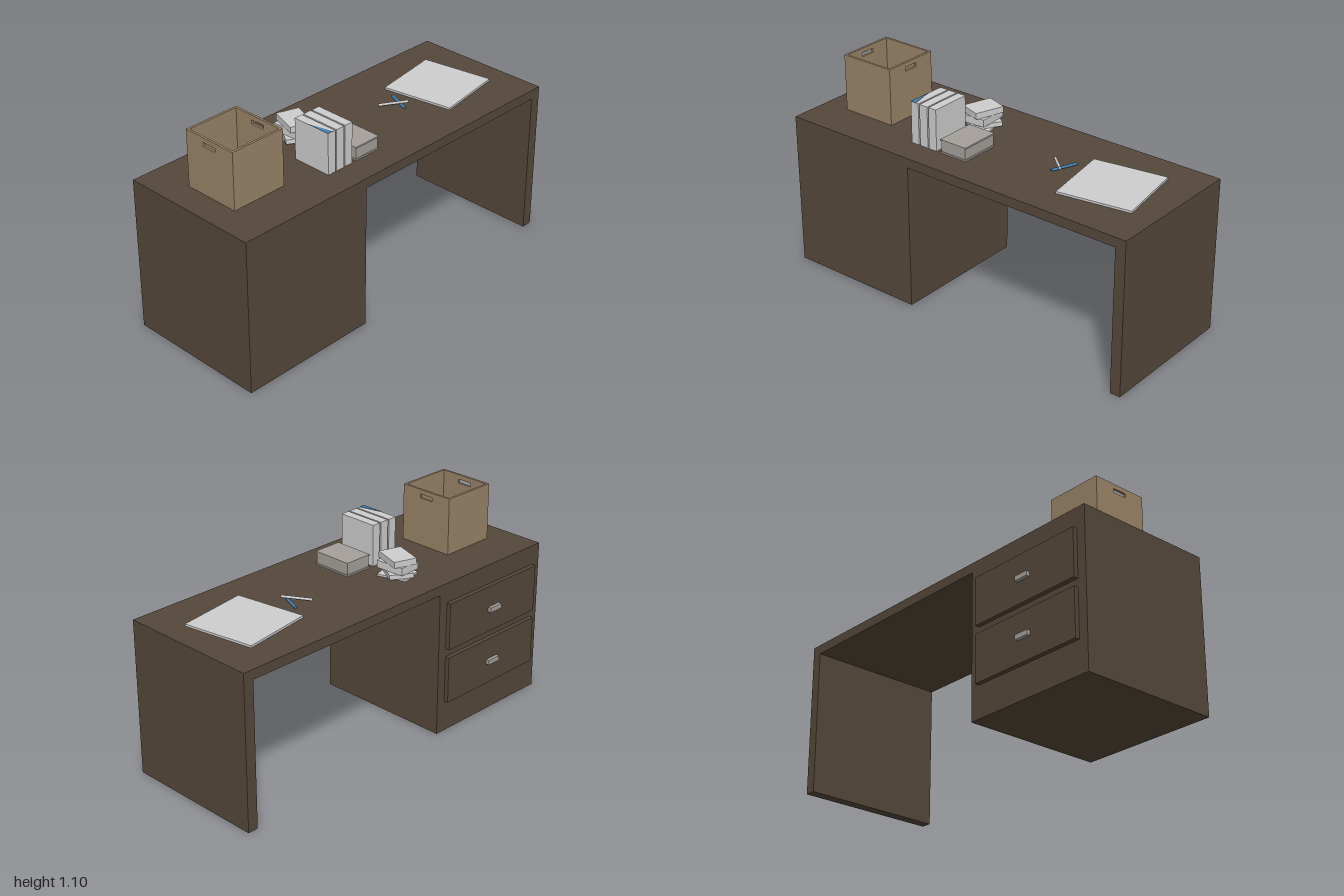
import * as THREE from 'three';

const mat = (name, color) => Object.assign(new THREE.MeshStandardMaterial({ color }), { name });

export function createModel() {
  const wood = mat('darkWood', 0x55483b);
  const card = mat('cardboard', 0x9a8467);
  const paper = mat('paper', 0xcecece);
  const grey = mat('warmGrey', 0xa5a09b);
  const blue = mat('blue', 0x4682b4);
  const model = new THREE.Group();
  model.name = 'desk';
  const TOP = 0.805;

  function add(name, geometry, material, x, y, z, parent = model) {
    const mesh = new THREE.Mesh(geometry, material);
    mesh.name = name;
    mesh.position.set(x, y, z);
    parent.add(mesh);
    return mesh;
  }
  // box given by its extents on each axis
  function block(name, material, x0, x1, y0, y1, z0, z1, parent) {
    return add(name, new THREE.BoxGeometry(x1 - x0, y1 - y0, z1 - z0), material,
      (x0 + x1) / 2, (y0 + y1) / 2, (z0 + z1) / 2, parent);
  }
  const polygon = (points) => new THREE.Shape(points.map(([x, y]) => new THREE.Vector2(x, y)));
  const extrude = (shape, depth) => new THREE.ExtrudeGeometry(shape, { depth, bevelEnabled: false });

  // desk body: cabinet, top and end panel as one front outline
  const outline = polygon([[-1, 0], [-0.255, 0], [-0.255, 0.755], [0.945, 0.755],
    [0.945, 0], [1, 0], [1, TOP], [-1, TOP]]);
  add('deskBody', extrude(outline, 0.75), wood, 0, 0, -0.355);

  // drawers on the back with bar handles
  for (const y of [0.165, 0.455]) {
    block('drawerFront', wood, -0.95, -0.305, y, y + 0.247, -0.378, -0.355);
    block('drawerHandle', grey, -0.67, -0.59, y + 0.111, y + 0.136, -0.396, -0.378);
  }

  // open storage box with hand holes in its two x sides
  const bin = new THREE.Group();
  bin.name = 'storageBox';
  model.add(bin);
  const t = 0.012, h = 0.295;
  block('boxFloor', card, -0.86 + t, -0.56 - t, TOP, TOP + t, -0.13 + t, 0.172 - t, bin);
  block('boxBack', card, -0.86 + t, -0.56 - t, TOP, TOP + h, -0.13, -0.13 + t, bin);
  block('boxFront', card, -0.86 + t, -0.56 - t, TOP, TOP + h, 0.172 - t, 0.172, bin);
  const side = polygon([[-0.151, 0], [0.151, 0], [0.151, h], [-0.151, h]]);
  side.holes.push(polygon([[-0.039, 0.25], [-0.039, 0.271], [0.039, 0.271], [0.039, 0.25]]));
  for (const x of [-0.86, -0.56 - t]) {
    add('boxSide', extrude(side, t), card, x, TOP, 0.021, bin).rotation.y = Math.PI / 2;
  }

  // upright binders, the first with a blue corner on top
  for (const [x0, x1] of [[-0.355, -0.309], [-0.301, -0.253], [-0.245, -0.199]]) {
    block('binder', paper, x0, x1, TOP, 1.02, 0.036, 0.25);
  }
  const corner = polygon([[-0.355, -0.25], [-0.325, -0.25], [-0.355, -0.125]]);
  add('blueCorner', extrude(corner, 0.002), blue, 0, 1.02, 0).rotation.x = -Math.PI / 2;

  // low flat case with overhanging lid and base
  block('caseBase', grey, -0.175, -0.02, TOP, TOP + 0.008, 0.035, 0.25);
  block('caseBody', grey, -0.171, -0.024, TOP + 0.008, 0.868, 0.039, 0.246);
  block('caseLid', grey, -0.175, -0.02, 0.868, 0.876, 0.035, 0.25);

  // untidy pile of books: bottom height, thickness, turn
  for (const [y, thick, turn] of [[0, 0.01, 0.3], [0.01, 0.024, -0.55], [0.034, 0.039, 0.06], [0.073, 0.032, -0.32]]) {
    add('pileBook', new THREE.BoxGeometry(0.12, thick, 0.158), paper,
      -0.212, TOP + y + thick / 2, -0.114).rotation.y = turn;
  }

  // large paper pad
  add('paperPad', new THREE.BoxGeometry(0.38, 0.011, 0.38), paper, 0.658, TOP + 0.0055, 0.018).rotation.y = 0.16;

  // pens: the white one leans on the blue one
  function pen(name, material, from, to) {
    const a = new THREE.Vector3(...from), b = new THREE.Vector3(...to);
    const dir = b.clone().sub(a), mid = a.clone().add(b).multiplyScalar(0.5);
    const mesh = add(name, new THREE.CylinderGeometry(0.007, 0.007, dir.length(), 8), material, mid.x, mid.y, mid.z);
    mesh.quaternion.setFromUnitVectors(new THREE.Vector3(0, 1, 0), dir.normalize());
  }
  pen('bluePen', blue, [0.353, 0.813, 0.075], [0.404, 0.813, -0.052]);
  pen('whitePen', paper, [0.287, 0.812, -0.04], [0.392, 0.831, 0.062]);

  return model;
}
